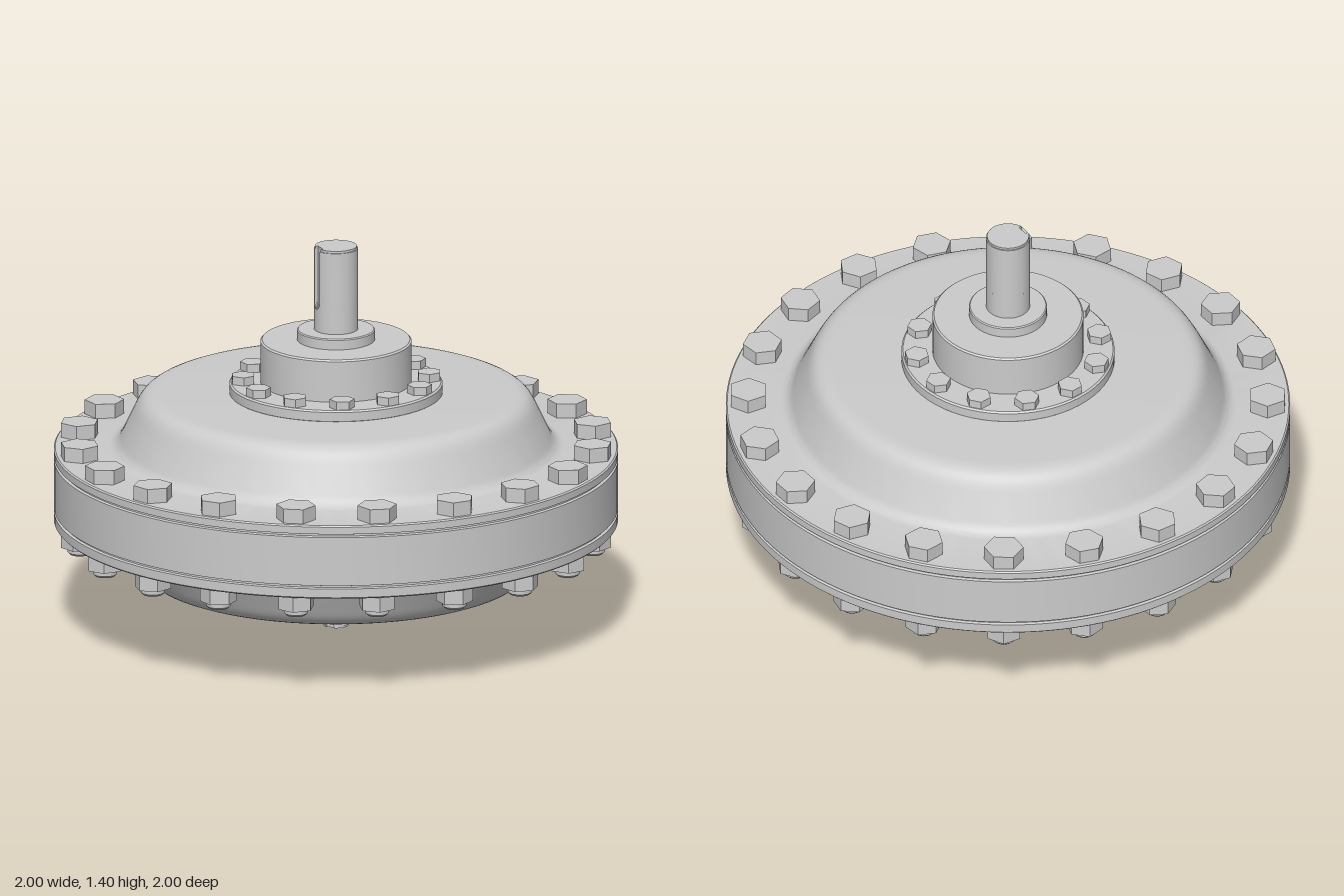
import * as THREE from 'three';
import { toCreasedNormals } from 'three/addons/utils/BufferGeometryUtils.js';

const material = new THREE.MeshStandardMaterial({ color: 0xcccccc });

function add(parent, name, geometry) {
  const mesh = new THREE.Mesh(geometry, material);
  mesh.name = name;
  parent.add(mesh);
  return mesh;
}

// Revolved solid from a bottom-to-top outline of [radius, height]
function turned(points, segments = 96) {
  const outline = points.map((p) => (p.isVector2 ? p : new THREE.Vector2(p[0], p[1])));
  return toCreasedNormals(new THREE.LatheGeometry(outline, segments), 0.5);
}

// Solid disc between two heights with a small chamfer at both ends
function disc(r, y0, y1, c = 0.006, segments = 64) {
  return turned([[0, y0], [r - c, y0], [r, y0 + c], [r, y1 - c], [r - c, y1], [0, y1]], segments);
}

// Hexagonal prism between two heights
function hexagon(r, y0, y1, turn) {
  const g = new THREE.CylinderGeometry(r, r, y1 - y0, 6).toNonIndexed();
  g.computeVertexNormals();
  return g.rotateY(turn).translate(0, (y0 + y1) / 2, 0);
}

// Repeats a fastener around the axis; build() fills a group at each station
function ring(parent, name, count, radius, offset, build) {
  const group = new THREE.Group();
  group.name = name;
  for (let i = 0; i < count; i++) {
    const pivot = new THREE.Group();
    pivot.name = name + (i + 1);
    const a = offset + (i * 2 * Math.PI) / count;
    pivot.position.set(radius * Math.sin(a), 0, radius * Math.cos(a));
    pivot.rotation.y = a;
    build(pivot);
    group.add(pivot);
  }
  parent.add(group);
}

// Slice of shaft with a notch of half-width w cut at its +x side
function notchedSlice(r, w, depth, height) {
  const a = Math.asin(w / r);
  const s = new THREE.Shape();
  s.moveTo(r - depth, w);
  s.lineTo(r * Math.cos(a), w);
  s.absarc(0, 0, r, a, 2 * Math.PI - a, false);
  s.lineTo(r - depth, -w);
  s.closePath();
  const g = new THREE.ExtrudeGeometry(s, { depth: height, bevelEnabled: false, curveSegments: 40 });
  return toCreasedNormals(g.rotateX(-Math.PI / 2), 0.5);
}

// Shaft end rising from y = 0, its keyway open at the top and round at the bottom
function keyedShaft(name, r, length, keyLength, w) {
  const shaft = new THREE.Group();
  shaft.name = name;
  const plain = length - keyLength, steps = 6, tip = 0.008;
  add(shaft, 'plainShaft', new THREE.CylinderGeometry(r, r, plain, 48).translate(0, plain / 2, 0));
  let y = plain;
  for (let i = 1; i <= steps; i++) {
    const next = plain + w * (1 - Math.cos((i / steps) * Math.PI / 2));
    const half = w * Math.sin(((i - 0.5) / steps) * Math.PI / 2);
    add(shaft, 'keywayEnd', notchedSlice(r, half, w * 0.8, next - y)).position.y = y;
    y = next;
  }
  add(shaft, 'keyway', notchedSlice(r, w, w * 0.8, length - tip - y)).position.y = y;
  add(shaft, 'shaftTip', notchedSlice(r - tip / 2, w, w * 0.8 - tip / 2, tip)).position.y = length - tip;
  return shaft;
}

export function createModel() {
  const model = new THREE.Group();
  model.name = 'coupling';

  // Casing: dished covers either side of a thick rim with two seam grooves
  const lower = new THREE.Path();
  lower.moveTo(0, 0.19);
  lower.lineTo(0.62, 0.19);
  lower.bezierCurveTo(0.68, 0.19, 0.695, 0.215, 0.715, 0.255);
  lower.lineTo(0.76, 0.345);
  lower.quadraticCurveTo(0.778, 0.385, 0.81, 0.388);
  const upper = new THREE.Path();
  upper.moveTo(0.81, 0.658);
  upper.quadraticCurveTo(0.778, 0.661, 0.76, 0.70);
  upper.lineTo(0.715, 0.795);
  upper.bezierCurveTo(0.695, 0.835, 0.68, 0.86, 0.62, 0.86);
  upper.lineTo(0, 0.86);
  add(model, 'casing', turned([
    ...lower.getPoints(8),
    [0.995, 0.388], [1, 0.393], [1, 0.425], [0.99, 0.428], [0.99, 0.434], [1, 0.437],
    [1, 0.615], [0.99, 0.618], [0.99, 0.624], [1, 0.627], [1, 0.653], [0.995, 0.658],
    ...upper.getPoints(8),
  ], 128));

  // Rim bolts: head above, nut and bolt end below
  ring(model, 'rimBolt', 20, 0.92, Math.PI / 20, (p) => {
    add(p, 'boltHead', hexagon(0.07, 0.655, 0.71, Math.PI / 6));
    add(p, 'nut', hexagon(0.066, 0.33, 0.39, 0));
    add(p, 'boltEnd', disc(0.043, 0.305, 0.335, 0.008, 24));
  });

  // Bearing housing on the upper cover
  add(model, 'housingFlange', disc(0.378, 0.855, 0.9));
  add(model, 'housing', disc(0.268, 0.89, 1.055));
  add(model, 'housingCollar', disc(0.138, 1.05, 1.094, 0.004));
  ring(model, 'housingBolt', 12, 0.33, Math.PI / 50, (p) => {
    add(p, 'boltHead', hexagon(0.044, 0.895, 0.93, Math.PI / 6));
  });

  // Cover plate underneath
  add(model, 'coverPlate', disc(0.217, 0.17, 0.2, 0.004));
  ring(model, 'coverBolt', 4, 0.18, 0, (p) => {
    add(p, 'boltHead', hexagon(0.033, 0.15, 0.175, Math.PI / 6));
  });

  // Keyed shafts
  const upperShaft = keyedShaft('upperShaft', 0.078, 0.35, 0.225, 0.022);
  upperShaft.position.y = 1.05;
  upperShaft.rotation.y = Math.PI * 1.14;
  model.add(upperShaft);
  const lowerShaft = keyedShaft('lowerShaft', 0.049, 0.2, 0.1, 0.016);
  lowerShaft.position.y = 0.2;
  lowerShaft.rotation.set(Math.PI, Math.PI * 0.67, 0, 'YXZ');
  lowerShaft.rotation.y = -Math.PI * 0.67;
  model.add(lowerShaft);

  return model;
}
